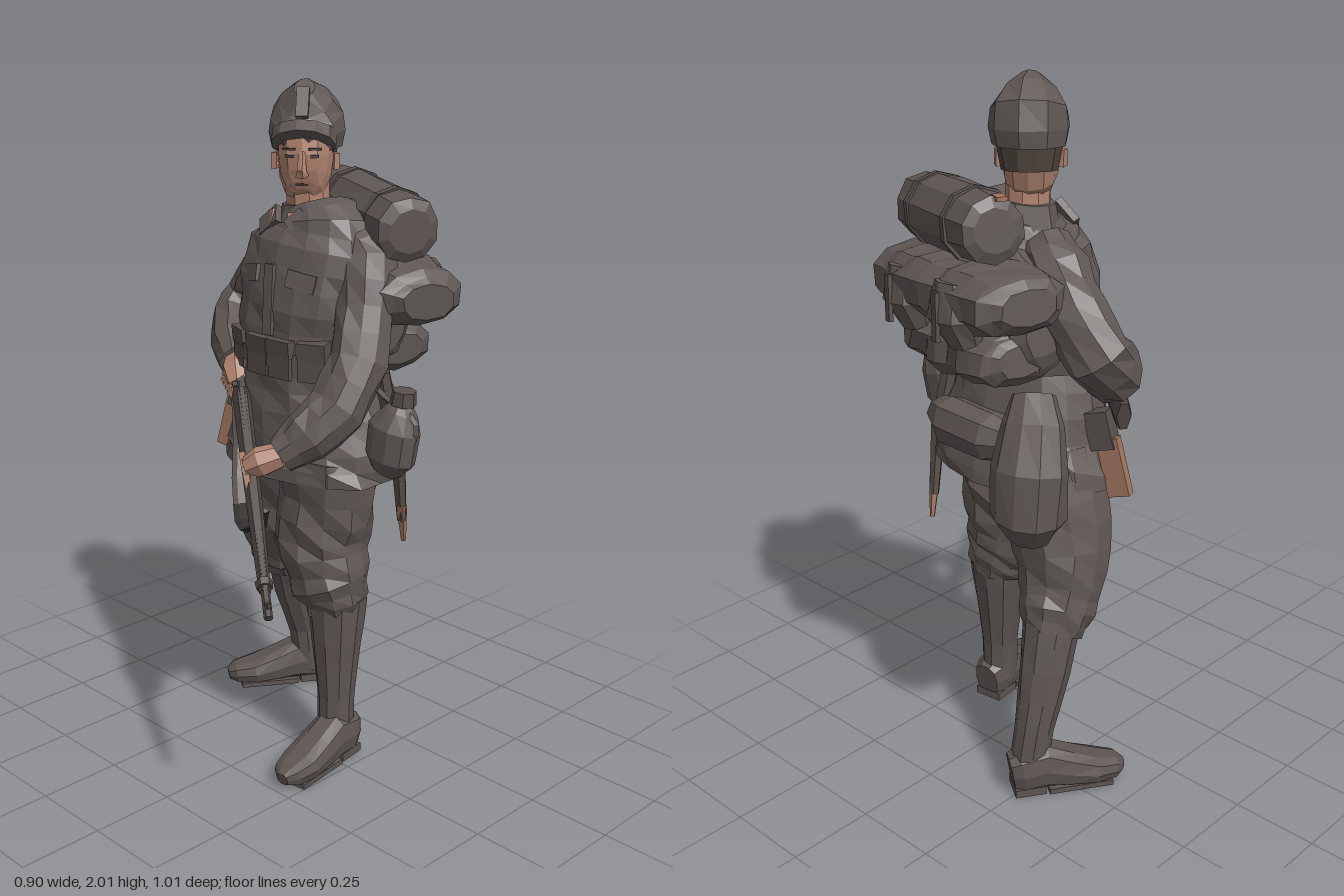
import * as THREE from 'three';

const mat = (name, color) => Object.assign(new THREE.MeshStandardMaterial({ color }), { name });
const V = (x, y, z) => new THREE.Vector3(x, y, z);

export function createModel() {
  const M = {
    cloth: mat('uniform cloth', 0x605855), boot: mat('boot leather', 0x5d5552), leather: mat('strap leather', 0x58504c),
    gun: mat('rifle', 0x514945), dark: mat('dark strap', 0x353331),
    skin: mat('skin', 0xb18470), hair: mat('hair', 0x4e443e), tan: mat('tan leather', 0xa0755f),
  };
  const root = new THREE.Group();
  let seed = 7;
  const rnd = () => (seed = (seed * 16807) % 2147483647) / 2147483647;

  const add = (name, geo, material, parent = root) => {
    const g = geo.index ? geo.toNonIndexed() : geo;
    g.computeVertexNormals(); // facetted normals
    const mesh = new THREE.Mesh(g, material);
    mesh.name = name;
    parent.add(mesh);
    return mesh;
  };
  const group = (name, x, y, z, ry = 0, parent = root) => {
    const g = new THREE.Group();
    g.name = name; g.position.set(x, y, z); g.rotation.y = ry;
    parent.add(g);
    return g;
  };
  const box = (name, m, size, pos, rot = [0, 0, 0], parent = root) => {
    const b = add(name, new THREE.BoxGeometry(...size), m, parent);
    b.position.set(...pos); b.rotation.set(...rot);
  };

  // Closed skin over rings [x, y, z, halfWidth, halfDepth]; e squares the rings, k crumples them
  const loft = (name, m, rings, { n = 9, e = 1, k = 0, sub = 1, ref = [0, 0, 1], parent = root } = {}) => {
    const s = [];
    rings.forEach((r, i) => {
      const q = rings[i + 1];
      for (let j = 0; j < (q ? sub : 1); j++) s.push(r.map((v, c) => (q ? v + (q[c] - v) * j / sub : v)));
    });
    const pos = [], idx = [], last = s.length - 1;
    let u = null;
    s.forEach((r, i) => {
      const a = s[Math.max(i - 1, 0)], b = s[Math.min(i + 1, last)];
      const t = V(b[0] - a[0], b[1] - a[1], b[2] - a[2]).normalize();
      u = u ? u.addScaledVector(t, -u.dot(t)).normalize() : t.clone().cross(V(...ref)).normalize();
      const v = u.clone().cross(t);
      for (let j = 0; j < n; j++) {
        const f = j / n * Math.PI * 2, c = Math.cos(f), d = Math.sin(f);
        const w = 1 + k * (rnd() - 0.5);
        const p = V(r[0], r[1], r[2])
          .addScaledVector(u, Math.sign(c) * Math.abs(c) ** e * r[3] * w)
          .addScaledVector(v, Math.sign(d) * Math.abs(d) ** e * r[4] * w);
        pos.push(p.x, p.y, p.z);
        if (i < last) {
          const A = i * n + j, B = i * n + (j + 1) % n;
          idx.push(A, A + n, B + n, A, B + n, B);
        }
      }
    });
    for (const [i, flip] of [[0, 0], [last, 1]]) {
      const c = pos.length / 3;
      pos.push(s[i][0], s[i][1], s[i][2]);
      for (let j = 0; j < n; j++) {
        const A = i * n + j, B = i * n + (j + 1) % n;
        flip ? idx.push(c, B, A) : idx.push(c, A, B);
      }
    }
    const g = new THREE.BufferGeometry();
    g.setAttribute('position', new THREE.Float32BufferAttribute(pos, 3));
    g.setIndex(idx);
    add(name, g, m, parent);
  };

  // Jacket with its flared skirt, and the belt
  loft('jacket', M.cloth, [
    [-0.01, 0.89, -0.1, 0.3, 0.205], [-0.01, 0.97, -0.1, 0.28, 0.195], [-0.02, 1.1, -0.09, 0.235, 0.18],
    [-0.02, 1.22, -0.08, 0.205, 0.162], [-0.02, 1.32, -0.08, 0.21, 0.16], [-0.01, 1.44, -0.085, 0.215, 0.157],
    [0, 1.54, -0.1, 0.212, 0.145], [0, 1.6, -0.115, 0.175, 0.128], [-0.02, 1.65, -0.12, 0.1, 0.09],
  ], { n: 16, e: 0.9, k: 0.09, sub: 2 });
  loft('belt', M.leather, [[-0.02, 1.22, -0.08, 0.216, 0.17], [-0.02, 1.265, -0.08, 0.216, 0.17]], { n: 16, e: 0.9 });
  for (const [x, z, ry] of [[-0.15, 0.035, -0.4], [-0.045, 0.067, -0.05], [0.04, 0.065, 0.05], [0.13, 0.035, 0.4]]) {
    const p = group('ammunitionPouch', x, 1.245, z, ry);
    box('pouchBody', M.leather, [0.08, 0.11, 0.045], [0, 0, 0], [0, 0, 0], p);
    box('pouchFlap', M.leather, [0.086, 0.05, 0.053], [0, 0.035, 0.001], [0.1, 0, 0], p);
  }
  box('jacketPlacket', M.cloth, [0.035, 0.2, 0.012], [-0.01, 1.41, 0.074], [-0.1, 0, 0.05]);
  for (const [x, s] of [[-0.11, 1], [0.09, -1]]) {
    box('chestPocketFlap', M.cloth, [0.09, 0.05, 0.015], [x, 1.47, 0.045], [-0.2, -0.35 * s, 0.1 * s]);
    box('collarWing', M.cloth, [0.08, 0.06, 0.02], [x * 0.6 - 0.02, 1.615, -0.005], [-0.5, -0.3 * s, 0.6 * s]);
  }
  loft('collar', M.cloth, [[-0.03, 1.59, -0.11, 0.1, 0.095], [-0.035, 1.665, -0.105, 0.076, 0.073]], { n: 10 });
  for (const [x, ry] of [[-0.08, -0.5], [0.012, 0.4]]) box('collarPatch', M.skin, [0.036, 0.046, 0.009], [x, 1.625, -0.002], [-0.35, ry, 0.2]);

  // Baggy breeches gathered below the knee, and boots
  const crumple = { n: 11, k: 0.18, sub: 2 };
  loft('leftBreeches', M.cloth, [[0.1, 0.95, -0.07, 0.15, 0.16], [0.095, 0.82, -0.06, 0.143, 0.14], [0.088, 0.69, -0.05, 0.14, 0.13],
    [0.11, 0.59, -0.045, 0.128, 0.122], [0.13, 0.53, -0.055, 0.112, 0.11], [0.14, 0.47, -0.06, 0.085, 0.085]], crumple);
  loft('rightBreeches', M.cloth, [[-0.11, 0.95, -0.13, 0.16, 0.17], [-0.165, 0.82, -0.14, 0.152, 0.15], [-0.205, 0.69, -0.15, 0.145, 0.135],
    [-0.225, 0.59, -0.18, 0.125, 0.12], [-0.24, 0.53, -0.21, 0.108, 0.108], [-0.25, 0.47, -0.24, 0.08, 0.085]], crumple);
  loft('leftBootShaft', M.boot, [[0.14, 0.51, -0.06, 0.09, 0.09], [0.15, 0.37, -0.05, 0.075, 0.077], [0.16, 0.2, -0.04, 0.055, 0.058],
    [0.165, 0.05, -0.035, 0.052, 0.06]], { n: 10, k: 0.05, sub: 2 });
  loft('rightBootShaft', M.boot, [[-0.24, 0.51, -0.23, 0.085, 0.085], [-0.255, 0.37, -0.275, 0.072, 0.077], [-0.258, 0.2, -0.325, 0.055, 0.06],
    [-0.25, 0.05, -0.345, 0.052, 0.06]], { n: 10, k: 0.05, sub: 2 });
  const foot = (name, x, z, ry) => {
    const g = group(name, x, 0, z, ry);
    loft('shoe', M.boot, [[0, 0.065, 0, 0.042, 0.055], [0, 0.07, 0.03, 0.055, 0.065], [0, 0.08, 0.1, 0.058, 0.07], [0, 0.062, 0.17, 0.062, 0.055],
      [0, 0.046, 0.25, 0.064, 0.04], [0, 0.04, 0.31, 0.048, 0.032], [0, 0.035, 0.335, 0.02, 0.018]], { n: 10, e: 0.75, ref: [0, 1, 0], parent: g });
    box('heel', M.boot, [0.09, 0.025, 0.09], [0, 0.0125, 0.05], [0, 0, 0], g);
    box('sole', M.boot, [0.1, 0.016, 0.19], [0, 0.008, 0.2], [0, 0, 0], g);
  };
  foot('leftFoot', 0.163, -0.1, 0.13);
  foot('rightFoot', -0.225, -0.39, -0.58);

  // Sleeves and hands
  const round = rows => rows.map(r => [...r, r[3]]);
  const sleeve = { n: 10, k: 0.15, sub: 2 };
  loft('rightSleeve', M.cloth, round([[-0.12, 1.56, -0.13, 0.07], [-0.195, 1.5, -0.16, 0.09], [-0.285, 1.41, -0.19, 0.088], [-0.365, 1.32, -0.19, 0.088],
    [-0.355, 1.26, -0.12, 0.085], [-0.28, 1.21, -0.04, 0.077], [-0.21, 1.18, 0.015, 0.052]]), sleeve);
  loft('leftSleeve', M.cloth, round([[0.12, 1.57, -0.12, 0.07], [0.18, 1.51, -0.12, 0.09], [0.222, 1.39, -0.07, 0.083], [0.252, 1.26, -0.02, 0.084],
    [0.245, 1.14, 0.06, 0.084], [0.21, 1.07, 0.14, 0.076], [0.165, 1.02, 0.2, 0.052]]), sleeve);
  loft('rightHand', M.skin, round([[-0.22, 1.185, 0.01, 0.036], [-0.18, 1.165, 0.045, 0.046], [-0.14, 1.13, 0.075, 0.033]]), { n: 7 });
  loft('leftHand', M.skin, round([[0.17, 1.02, 0.2, 0.036], [0.13, 1.0, 0.24, 0.044], [0.1, 0.98, 0.26, 0.033]]), { n: 7 });
  for (let i = 0; i < 4; i++) {
    box('rightFinger', M.skin, [0.018, 0.07, 0.022], [-0.18 + i * 0.018, 1.125 - i * 0.008, 0.068 + i * 0.008], [0.3, 0.6, 0.5]);
    box('leftFinger', M.skin, [0.018, 0.065, 0.022], [0.075 + i * 0.02, 0.985 - i * 0.014, 0.25 + i * 0.013], [-0.4, 0.6, 0.5]);
  }

  // Rifle, running from the butt under the right arm down to the muzzle
  const at = (f, a, b = a, dy = 0) => [-0.16 + 0.6 * f, 1.155 - 0.445 * f + dy, 0.055 + 0.45 * f, a, b];
  const gun = { n: 6, ref: [0, 1, 0] };
  loft('rifleButt', M.gun, [[-0.405, 1.145, -0.13, 0.02, 0.045], [-0.38, 1.15, -0.11, 0.026, 0.052], [-0.24, 1.16, 0, 0.024, 0.036], at(0.04, 0.022, 0.026)], gun);
  loft('rifleStock', M.gun, [at(0, 0.022, 0.026), at(0.12, 0.027, 0.036), at(0.35, 0.025, 0.032), at(0.65, 0.021, 0.025), at(0.9, 0.016, 0.018)], gun);
  loft('rifleBarrel', M.gun, [at(0.1, 0.013, 0.013, 0.025), at(1, 0.012, 0.012, 0.005)], gun);
  for (const f of [0.55, 0.86]) loft('barrelBand', M.gun, [at(f, 0.024, 0.027), at(f + 0.025, 0.022, 0.025)], gun);
  loft('magazine', M.gun, [at(0.16, 0.016, 0.03, -0.04), at(0.28, 0.016, 0.022, -0.04)], gun);
  box('frontSight', M.gun, [0.012, 0.035, 0.012], at(0.975, 0, 0, 0.012).slice(0, 3));
  box('boltHandle', M.gun, [0.06, 0.014, 0.014], [-0.11, 1.15, 0.11], [0, -0.9, 0.3]);

  // Flat sling hanging below the rifle
  const flat = { n: 6, ref: [0, 1, 0] };
  loft('slingUpper', M.leather, [[-0.17, 1.13, 0.045, 0.025, 0.008], [-0.12, 0.97, 0.08, 0.028, 0.008], [-0.08, 0.87, 0.12, 0.03, 0.008], [-0.03, 0.81, 0.16, 0.03, 0.008]], flat);
  loft('slingLower', M.dark, [[-0.03, 0.81, 0.16, 0.03, 0.009], [0.02, 0.785, 0.2, 0.03, 0.009], [0.08, 0.785, 0.235, 0.03, 0.009],
    [0.15, 0.82, 0.27, 0.025, 0.009], [0.2, 0.89, 0.3, 0.02, 0.009]], flat);

  // Head turned to the left, with a peaked field cap
  loft('neck', M.skin, [[-0.035, 1.58, -0.11, 0.062, 0.062], [-0.035, 1.76, -0.1, 0.062, 0.065]], { n: 9 });
  const head = group('head', -0.04, 1.675, -0.1, 0.68);
  loft('face', M.skin, [[0, 0.008, 0.05, 0.03, 0.035], [0, 0.02, 0.035, 0.055, 0.06], [0, 0.06, 0.01, 0.073, 0.09], [0, 0.12, 0, 0.08, 0.102],
    [0, 0.2, -0.01, 0.082, 0.1]], { n: 12, e: 0.9, parent: head });
  loft('nose', M.skin, [[0, 0.075, 0.1, 0.02, 0.022], [0, 0.09, 0.105, 0.014, 0.024], [0, 0.14, 0.095, 0.01, 0.01]], { n: 5, parent: head });
  loft('hair', M.hair, [[0, 0.08, -0.04, 0.076, 0.07], [0, 0.17, -0.03, 0.094, 0.09]], { n: 10, parent: head });
  box('mouth', M.hair, [0.035, 0.005, 0.008], [0, 0.05, 0.099], [0, 0, 0], head);
  for (const s of [-1, 1]) {
    box('ear', M.skin, [0.016, 0.045, 0.028], [0.086 * s, 0.105, -0.005], [0, 0.3 * s, 0], head);
    box('eye', M.hair, [0.024, 0.008, 0.008], [0.035 * s, 0.127, 0.091], [0, 0.3 * s, 0], head);
    box('eyebrow', M.hair, [0.036, 0.006, 0.009], [0.037 * s, 0.147, 0.092], [0, 0.3 * s, 0], head);
  }
  loft('cap', M.cloth, [[0, 0.145, -0.025, 0.102, 0.112], [0, 0.19, -0.022, 0.112, 0.122], [0, 0.238, -0.018, 0.106, 0.115], [0, 0.275, 0.01, 0.075, 0.08],
    [0, 0.31, 0.035, 0.03, 0.04]], { n: 9, k: 0.05, parent: head });
  loft('capPeak', M.cloth, [[0, 0.155, 0.055, 0.092, 0.1], [0, 0.19, 0.035, 0.09, 0.08]], { n: 11, parent: head });
  box('capFrontTab', M.cloth, [0.035, 0.085, 0.02], [0, 0.272, 0.08], [-0.45, 0, 0], head);

  // Backpack: stacked soft bundles, pouches and straps, sagging to the left
  const pack = group('backpack', 0.02, 0.005, -0.285, -0.28);
  pack.rotation.z = -0.09;
  pack.position.x -= 0.12;
  const bundle = (name, y, z, w, h, d) => loft(name, M.cloth, [[-1, 0.5], [-0.88, 0.82], [-0.5, 0.97], [-0.2, 0.9], [0.15, 1], [0.5, 0.93], [0.88, 0.82], [1, 0.5]]
    .map(([f, s]) => [f * w, y, z, h * s, d * s]), { n: 10, e: 0.85, k: 0.17, sub: 2, parent: pack });
  bundle('upperPack', 1.45, -0.03, 0.34, 0.1, 0.165);
  bundle('lowerPack', 1.29, -0.01, 0.255, 0.09, 0.135);
  bundle('packBody', 1.38, 0.05, 0.27, 0.18, 0.11);
  for (const x of [-0.15, 0.13]) {
    loft('packPouch', M.cloth, [[x, 1.34, -0.12, 0.06, 0.04], [x, 1.41, -0.145, 0.085, 0.06], [x, 1.5, -0.13, 0.07, 0.055]], { n: 8, e: 0.8, k: 0.12, parent: pack });
    box('packStrap', M.leather, [0.025, 0.13, 0.012], [x, 1.42, -0.2], [0.05, 0, 0], pack);
  }
  const roll = (f, r) => [-0.165 + 0.465 * f, 1.65 - 0.04 * f, -0.36 + 0.19 * f, r, r];
  loft('bedroll', M.cloth, [roll(0, 0.06), roll(0.03, 0.09), roll(0.3, 0.1), roll(0.7, 0.103), roll(0.97, 0.094), roll(1, 0.065)], { n: 10, k: 0.08 });
  for (const f of [0.22, 0.76]) loft('bedrollStrap', M.leather, [roll(f, 0.104), roll(f + 0.05, 0.104)], { n: 10 });
  box('bedrollTab', M.tan, [0.04, 0.012, 0.03], [-0.155, 1.732, -0.335], [0, -0.4, 0]);

  // Gear around the hips
  loft('breadBag', M.cloth, [[-0.25, 0.83, -0.34, 0.07, 0.06], [-0.265, 0.89, -0.355, 0.105, 0.098], [-0.265, 1.02, -0.345, 0.108, 0.1],
    [-0.245, 1.13, -0.31, 0.085, 0.08], [-0.22, 1.2, -0.28, 0.06, 0.06]], { n: 10, k: 0.1 });
  loft('rearPouch', M.cloth, [[-0.15, 1.05, -0.29, 0.045, 0.05], [-0.09, 1.05, -0.305, 0.07, 0.07], [0.08, 1.05, -0.295, 0.07, 0.07],
    [0.15, 1.05, -0.265, 0.045, 0.05]], { n: 8, e: 0.85, k: 0.08 });
  loft('canteen', M.cloth, [[0.32, 0.95, -0.06, 0.045, 0.035], [0.335, 0.99, -0.065, 0.078, 0.06], [0.345, 1.08, -0.07, 0.08, 0.065],
    [0.36, 1.13, -0.08, 0.05, 0.045], [0.365, 1.155, -0.08, 0.025, 0.025]], { n: 10 });
  loft('canteenCap', M.leather, [[0.365, 1.15, -0.08, 0.038, 0.038], [0.37, 1.19, -0.08, 0.034, 0.034]], { n: 7 });
  add('canteenStrap', new THREE.TubeGeometry(new THREE.CatmullRomCurve3(
    [V(0.2, 1.24, -0.08), V(0.29, 1.17, -0.07), V(0.42, 1.1, -0.075), V(0.36, 0.96, -0.06)]), 16, 0.01, 4), M.leather);
  loft('bayonetScabbard', M.leather, [[0.22, 1.2, -0.15, 0.03, 0.022], [0.255, 0.95, -0.19, 0.026, 0.02], [0.25, 0.74, -0.22, 0.016, 0.014]], { n: 6 });
  loft('scabbardTip', M.tan, [[0.255, 0.79, -0.21, 0.018, 0.016], [0.245, 0.67, -0.235, 0.008, 0.008]], { n: 5 });
  box('toolHandle', M.tan, [0.065, 0.17, 0.03], [-0.325, 0.955, -0.07], [0, 0.3, -0.25]);
  box('toolCover', M.leather, [0.07, 0.11, 0.05], [-0.285, 1.06, -0.08], [0, 0.3, -0.25]);
  return root;
}
